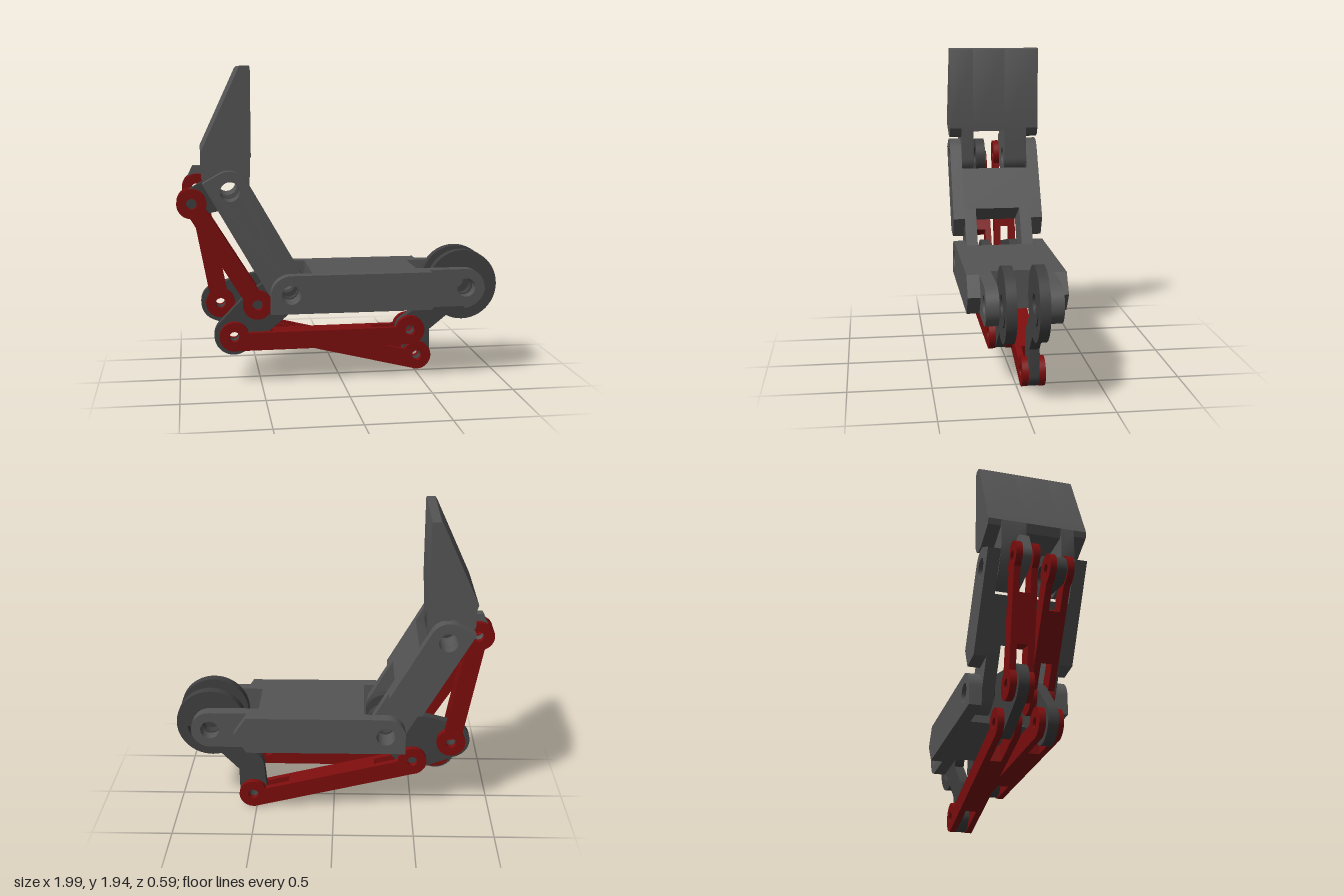
import * as THREE from 'three';
import { toCreasedNormals } from 'three/addons/utils/BufferGeometryUtils.js';

const mat = (color) => new THREE.MeshStandardMaterial({ color });
const grey = mat(0x555555), dark = mat(0x404040), red = mat(0x7d0d0d);

// Pivots of the finger, in the x-y plane
const BASE = [0.775, 0.585], MID = [-0.325, 0.585], TIP = [-0.685, 1.215];
const BORE = 0.058;

// Convex outline around a set of circles [x, y, r]
function hull(circles) {
  const pts = [];
  for (const [x, y, r = 0] of circles) {
    const n = r ? 48 : 1;
    for (let i = 0; i < n; i++) {
      const a = (i / n) * Math.PI * 2;
      pts.push([x + r * Math.cos(a), y + r * Math.sin(a)]);
    }
  }
  pts.sort((a, b) => a[0] - b[0] || a[1] - b[1]);
  const half = (list) => {
    const h = [];
    for (const p of list) {
      while (h.length > 1) {
        const [a, b] = h.slice(-2);
        if ((b[0] - a[0]) * (p[1] - a[1]) - (b[1] - a[1]) * (p[0] - a[0]) > 1e-9) break;
        h.pop();
      }
      h.push(p);
    }
    return h.slice(0, -1);
  };
  return [...half(pts), ...half(pts.reverse())];
}

const toVectors = (pts) => pts.map(([x, y]) => new THREE.Vector2(x, y));

// Flat plate between two z values, with round holes [x, y, r] and optional slots
function plate(group, name, outline, holes, z0, z1, material, slots = []) {
  const shape = new THREE.Shape(toVectors(outline));
  for (const [x, y, r] of holes) shape.holes.push(new THREE.Path().absarc(x, y, r, 0, Math.PI * 2, true));
  shape.holes.push(...slots);
  const geo = new THREE.ExtrudeGeometry(shape, { depth: z1 - z0, bevelEnabled: false, curveSegments: 24 });
  geo.translate(0, 0, z0);
  const mesh = new THREE.Mesh(toCreasedNormals(geo, 0.5), material);
  mesh.name = name;
  group.add(mesh);
}

// Finger segment: forked far end, inner tabs at the near end, solid middle
function segment(name, from, to) {
  const g = new THREE.Group();
  g.name = name;
  const dx = to[0] - from[0], dy = to[1] - from[1], L = Math.hypot(dx, dy);
  const u = [dx / L, dy / L], n = [u[1], -u[0]], W = 0.117;
  const P = (t, s) => [from[0] + u[0] * t + n[0] * s, from[1] + u[1] * t + n[1] * s];

  const cheek = [P(0.155, 0), P(0.235, W), P(L, W)];
  for (let i = 1; i <= 12; i++) {
    const a = (i / 12) * Math.PI / 2;
    cheek.push(P(L + 0.122 * Math.sin(a), W * Math.cos(a)));
  }
  cheek.push(P(L + 0.122, -W), P(0.235, -W));

  for (const s of [1, -1]) {
    const span = (a, b) => (s > 0 ? [a, b] : [-b, -a]);
    plate(g, 'cheek', cheek, [[...to, BORE]], ...span(0.22, 0.295), grey);
    plate(g, 'hingeTab', hull([[...from, W], P(0.31, W), P(0.31, -W)]), [[...from, BORE]], ...span(0.145, 0.22), grey);
  }
  plate(g, 'core', [P(0.305, W), P(L - 0.135, W), P(L - 0.135, -W), P(0.305, -W)], [], -0.22, 0.22, grey);
  return g;
}

// Red rod with forked ends; shift moves the bar sideways off the pin line
function rod(name, a, b, zc, shift = 0) {
  const g = new THREE.Group();
  g.name = name;
  const dx = b[0] - a[0], dy = b[1] - a[1], L = Math.hypot(dx, dy);
  const P = (t, s) => [a[0] + (dx * t - dy * s) / L, a[1] + (dy * t + dx * s) / L];
  const R = 0.09, w = 0.055, hi = shift + w, lo = shift - w;
  const arc = (c, from, to) => {
    const pts = [];
    for (let i = 0; i <= 32; i++) {
      const q = from + ((to - from) * i) / 32;
      pts.push(P(c + R * Math.cos(q), R * Math.sin(q)));
    }
    return pts;
  };
  const aHi = Math.asin(hi / R), aLo = Math.asin(Math.max(-1, lo / R));
  const outline = [
    ...arc(0, aHi, Math.PI * 2 + aLo),
    ...arc(L, Math.PI + (-aLo) - Math.PI * 2, Math.PI - aHi).map((p) => p),
  ];
  // The far arc runs from the lower edge round the end to the upper edge
  outline.splice(33, 33, ...arc(L, Math.PI - aLo - Math.PI * 2, Math.PI - aHi));
  const holes = [[...a, 0.032], [...b, 0.032]];
  for (const s of [1, -1]) {
    const c = zc + s * 0.051;
    plate(g, 'forkPlate', outline, holes, c - 0.019, c + 0.019, red);
  }
  const e = Math.min(0.24, L * 0.3);
  plate(g, 'bar', [P(e, hi), P(L - e, hi), P(L - e, lo), P(e, lo)], [], zc - 0.033, zc + 0.033, red);
  return g;
}

// Drive wheel with a curved slot and an arm along the given circles
function driveWheel(name, arm, pin, z0, z1) {
  const g = new THREE.Group();
  g.name = name;
  const [x, y] = BASE;
  const disc = hull([[x, y, 0.22]]);
  const slot = new THREE.Path();
  slot.absarc(x, y, 0.155, -1.45, -0.15, false);
  slot.absarc(x, y, 0.128, -0.15, -1.45, true);
  slot.closePath();
  plate(g, 'wheel', disc, [[x, y, BORE]], z0, z1, dark, [slot]);
  for (let i = 0; i + 1 < arm.length; i++) {
    plate(g, 'arm', hull([arm[i], arm[i + 1]]), i ? [] : [[...pin, 0.032]], z0, z1, dark);
  }
  return g;
}

// Fingertip: wedge with three z-slices, hinge tabs and a lug for the rod
function fingertip(lugPin) {
  const g = new THREE.Group();
  g.name = 'fingertip';
  const top = [[-0.56, 1.94], [-0.565, 1.95], [-0.615, 1.95], [-0.625, 1.94], [-0.85, 1.455]];
  const side = [...top, [-0.84, 1.42], [-0.68, 1.355], [-0.63, 1.355], [-0.585, 1.375], [-0.56, 1.42]];
  const middle = [...top, [-0.83, 1.4], [-0.56, 1.4]];
  plate(g, 'wedgeSide', side, [], 0.14, 0.295, grey);
  plate(g, 'wedgeSide', side, [], -0.295, -0.07, grey);
  plate(g, 'wedgeMiddle', middle, [], -0.07, 0.14, grey);
  const tab = hull([[...TIP, 0.12], [-0.85, 1.455], [-0.85, 1.29], [-0.56, 1.42]]);
  const bore = [[...TIP, BORE]];
  plate(g, 'hingeTab', tab, bore, 0.14, 0.218, grey);
  plate(g, 'hingeTab', tab, bore, -0.218, -0.07, grey);
  plate(g, 'rodLug', hull([[...TIP, 0.12], [...lugPin, 0.08], [-0.9, 1.34]]), [...bore, [...lugPin, 0.032]], -0.13, -0.07, grey);
  return g;
}

export function createModel() {
  const model = new THREE.Group();
  model.name = 'linkageFinger';

  // Pins of the front (+z) and rear (-z) linkages
  const f = { drive: [0.435, 0.31], low: [-0.665, 0.305], up: [-0.52, 0.5], tip: [-0.91, 1.13] };
  const r = { drive: [0.52, 0.095], low: [-0.5, 0.345], up: [-0.74, 0.48], tip: [-0.875, 1.205] };
  const zf = 0.09, zr = -0.095;

  model.add(segment('lowerSegment', BASE, MID), segment('middleSegment', MID, TIP), fingertip(r.tip));

  // Drive wheels at the base
  model.add(driveWheel('frontDriveWheel', [[...f.drive, 0.085], [0.64, 0.46, 0.075]], f.drive, 0.06, 0.12));
  model.add(driveWheel('rearDriveWheel',
    [[...r.drive, 0.088], [0.53, 0.29, 0.08], [0.68, 0.44, 0.075]], r.drive, -0.125, -0.065));

  // Bell cranks on the middle pivot, idler crank on the tip pivot
  const crank = (name, circles, holes, zc) =>
    plate(model, name, hull(circles), holes, zc - 0.03, zc + 0.03, dark);
  crank('frontCrank', [[...MID, 0.12], [...f.low, 0.12], [...f.up, 0.09]],
    [[...MID, BORE], [...f.low, 0.032]], zf);
  crank('rearCrank', [[...MID, 0.12], [...r.up, 0.12], [...r.low, 0.08]],
    [[...MID, BORE], [...r.up, 0.032]], zr);
  crank('idlerCrank', [[...TIP, 0.12], [...f.tip, 0.08]], [[...TIP, BORE]], zf);

  // Red rods
  model.add(rod('frontLowerRod', f.low, f.drive, zf, -0.034));
  model.add(rod('rearLowerRod', r.low, r.drive, zr, -0.034));
  model.add(rod('frontUpperRod', f.up, f.tip, zf));
  model.add(rod('rearUpperRod', r.up, r.tip, zr));
  return model;
}
